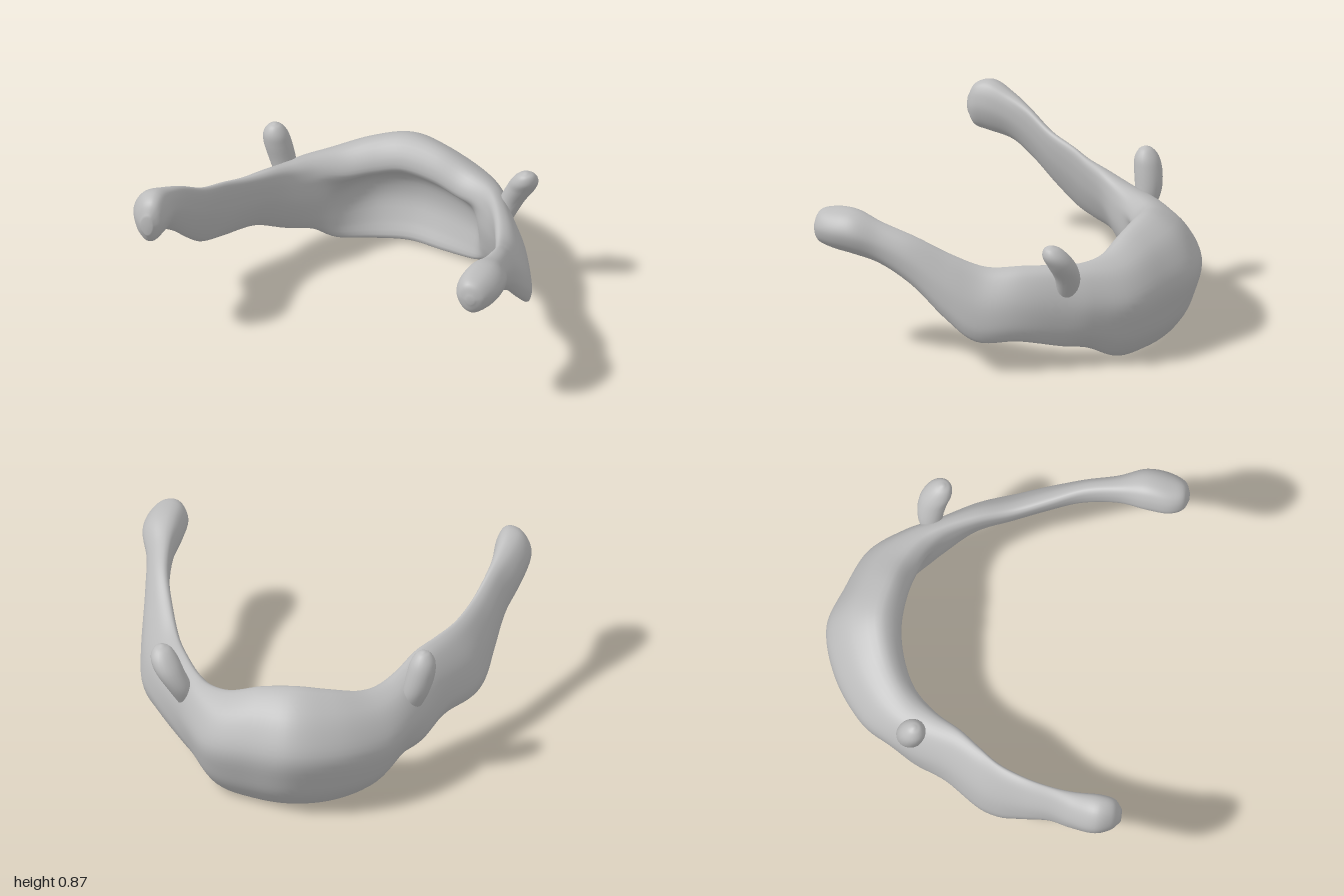
import * as THREE from 'three';

const bone = new THREE.MeshStandardMaterial({ color: 0xbcbcbc });
bone.name = 'bone grey';

// Cross-section outlines as [inner-to-outer, bottom-to-top] fractions:
// a rounded blade for the horns and a forward-opening cup for the body.
const BLADE = [[.4, 1], [.68, .95], [.88, .8], [1, .57], [.95, .33], [.82, .15], [.55, 0],
  [.35, .02], [.18, .13], [.06, .3], [0, .5], [.03, .68], [.1, .83], [.22, .95]];
const CUP = [[.29, 1], [.65, .91], [.87, .76], [1, .57], [.91, .33], [.78, .15], [.54, 0],
  [.36, .03], [.46, .17], [.57, .35], [.53, .52], [.32, .65], [.03, .77], [.07, .89]];

// Stations: outer x, outer z, inner x, inner z, top, bottom, cup amount, lean of the blade
const RIGHT_HORN = [
  [-.925, .735, -.865, .737, .77, .67, 0, 0],
  [-.97, .69, -.825, .70, .84, .61, 0, 0],
  [-1.0, .61, -.81, .63, .865, .59, 0, 0],
  [-.97, .48, -.80, .50, .82, .56, 0, .15],
  [-.91, .36, -.78, .39, .77, .49, 0, .3],
  [-.87, .22, -.72, .24, .69, .37, 0, .45],
  [-.845, .10, -.64, .08, .65, .28, 0, .5],
  [-.81, 0, -.55, -.03, .63, .255, 0, .5],
  [-.68, -.20, -.46, -.13, .62, .25, 0, .4],
  [-.59, -.38, -.36, -.25, .585, .175, 0, .2],
];
const BODY = [
  [-.50, -.51, -.27, -.34, .57, .14, .2, 0],
  [-.40, -.65, -.18, -.41, .58, .05, .65, 0],
  [-.18, -.81, -.05, -.47, .63, .015, 1, 0],
  [.08, -.885, .08, -.49, .66, .01, 1, 0],
  [.30, -.82, .25, -.48, .63, 0, 1, 0],
  [.53, -.72, .40, -.44, .56, .02, .8, 0],
  [.65, -.55, .50, -.39, .54, .09, .25, 0],
];
const LEFT_HORN = [
  [.73, -.41, .57, -.33, .54, .115, 0, .15],
  [.87, -.20, .66, -.18, .54, .17, 0, .4],
  [.955, 0, .73, 0, .53, .175, 0, .5],
  [.97, .15, .78, .17, .59, .28, 0, .45],
  [.965, .35, .82, .35, .68, .44, 0, .25],
  [.97, .52, .82, .54, .74, .53, 0, .1],
  [1.0, .66, .79, .68, .79, .56, 0, 0],
  [.99, .78, .78, .80, .785, .575, 0, 0],
  [.95, .865, .81, .865, .76, .60, 0, 0],
  [.90, .89, .86, .89, .70, .66, 0, 0],
];

// Smooth skin over closed rings of equal point count, closed to a point at both ends
function loft(rings, stepsPerRing) {
  const n = rings[0].length;
  const spans = rings.length - 1;
  const rows = spans * stepsPerRing + 1;
  const lines = rings[0].map((_, j) => new THREE.CatmullRomCurve3(rings.map((r) => r[j])));
  const grid = [];
  for (let i = 0; i < rows; i++) grid.push(lines.map((l) => l.getPoint(i / (rows - 1))));
  const centre = (ring) => {
    const c = new THREE.Vector3();
    ring.forEach((p) => c.add(p));
    return c.divideScalar(n);
  };
  const pos = [];
  const idx = [];
  grid.forEach((ring) => ring.forEach((p) => pos.push(p.x, p.y, p.z)));
  const first = rows * n;
  [grid[0], grid[rows - 1]].forEach((r) => pos.push(...centre(r).toArray()));
  for (let j = 0; j < n; j++) {
    const k = (j + 1) % n;
    for (let i = 0; i < rows - 1; i++) {
      const a = i * n + j, b = a + n, c = i * n + k, d = c + n;
      idx.push(a, b, c, b, d, c);
    }
    idx.push(first, j, k, first + 1, (rows - 1) * n + k, (rows - 1) * n + j);
  }
  const g = new THREE.BufferGeometry();
  g.setAttribute('position', new THREE.Float32BufferAttribute(pos, 3));
  g.setIndex(idx);
  g.computeVertexNormals();
  return g;
}

// One smooth vertical section of the arch; lean thins the blade and swings its foot outward
function archRing([ox, oz, ix, iz, top, bottom, cup, lean]) {
  const pts = BLADE.map(([o, h], i) => {
    const leaned = .5 + (o - .5) * (1 - .7 * lean) + 1.15 * lean * (.5 - h);
    const across = THREE.MathUtils.lerp(leaned, CUP[i][0], cup);
    const up = THREE.MathUtils.lerp(h, CUP[i][1], cup);
    return new THREE.Vector3(ix + (ox - ix) * across, bottom + (top - bottom) * up, iz + (oz - iz) * across);
  });
  const curve = new THREE.CatmullRomCurve3(pts, true);
  return Array.from({ length: 56 }, (_, j) => curve.getPoint(j / 56));
}

// Small round-tipped peg rising through [x, y, z, radius] stations
function peg(stations) {
  return loft(stations.map(([x, y, z, r]) => Array.from({ length: 20 }, (_, j) => {
    const a = (j / 20) * Math.PI * 2;
    return new THREE.Vector3(x + r * Math.cos(a), y, z + r * Math.sin(a));
  })), 5);
}

export function createModel() {
  const model = new THREE.Group();
  model.name = 'archBone';
  const add = (name, geometry) => {
    const mesh = new THREE.Mesh(geometry, bone);
    mesh.name = name;
    model.add(mesh);
  };

  // Cupped body with both long horns in one continuous skin
  add('bodyAndLongHorns', loft([...RIGHT_HORN, ...BODY, ...LEFT_HORN].map(archRing), 6));

  // Short horns rising near the joints
  add('rightShortHorn', peg([
    [-.48, .42, -.37, .05], [-.515, .54, -.39, .068], [-.54, .65, -.38, .072],
    [-.548, .71, -.37, .062], [-.55, .75, -.365, .035], [-.55, .764, -.365, .008],
  ]));
  add('leftShortHorn', peg([
    [.65, .38, -.39, .05], [.70, .50, -.42, .065], [.752, .59, -.41, .074],
    [.78, .65, -.385, .068], [.79, .69, -.37, .042], [.792, .707, -.365, .008],
  ]));
  return model;
}
